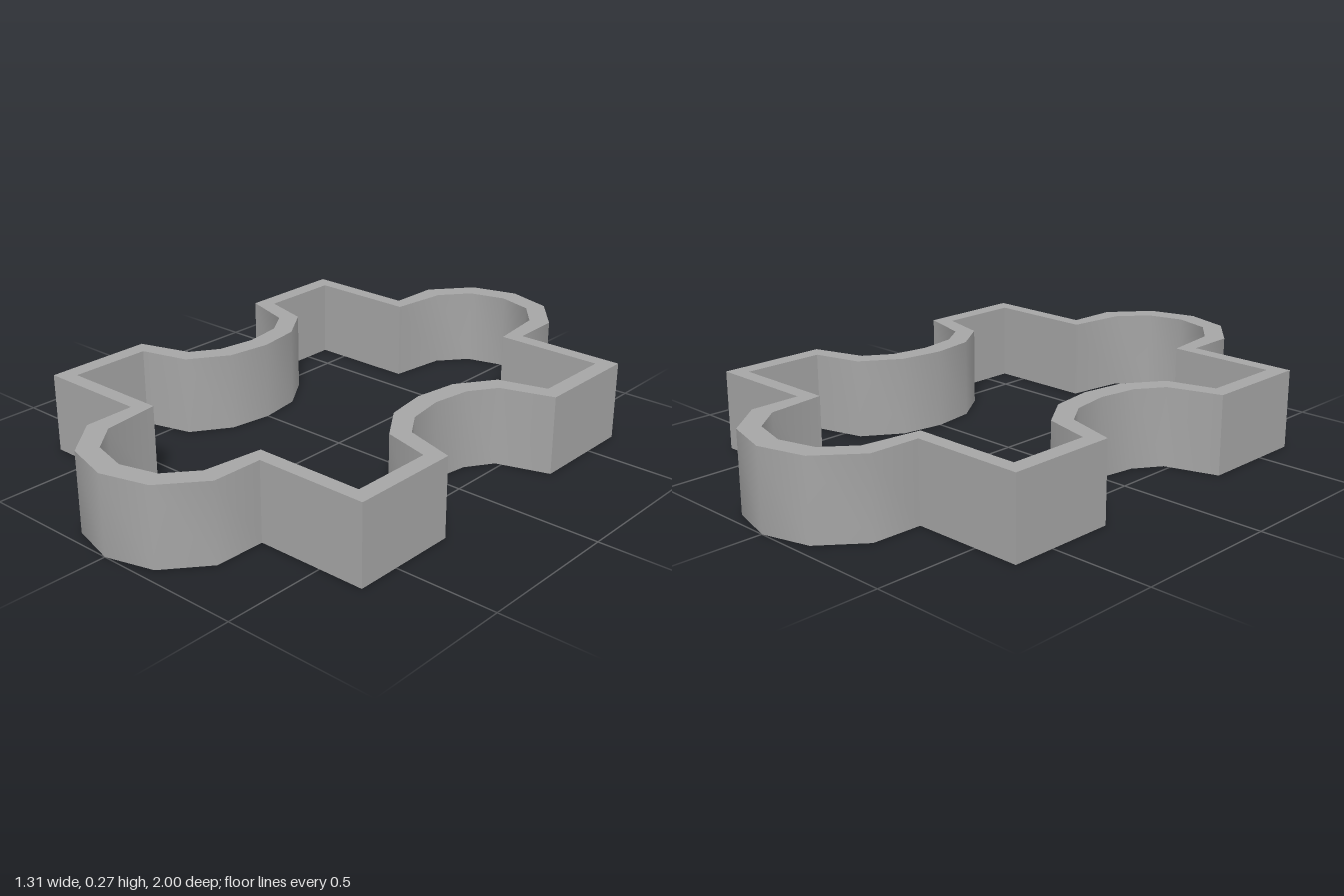
import * as THREE from 'three';
import { toCreasedNormals } from 'three/addons/utils/BufferGeometryUtils.js';

const HEIGHT = 0.266;

// Quarter outlines from the rounded end to the middle of the side recess
const OUTER = [[0, 1], [0.16, 0.955], [0.272, 0.82], [0.276, 0.647], [0.656, 0.647],
  [0.656, 0.275], [0.48, 0.22], [0.42, 0.13], [0.4, 0]];
const INNER = [[0, 0.926], [0.125, 0.892], [0.205, 0.795], [0.23, 0.597], [0.6, 0.597],
  [0.6, 0.317], [0.438, 0.273], [0.352, 0.147], [0.33, 0]];

// Mirror a quarter outline into a closed clockwise loop
function fullLoop(quarter) {
  const mirror = (list, sx, sy) => list.map(([x, y]) => new THREE.Vector2(x * sx, y * sy));
  const back = [...quarter].reverse();
  return [
    ...mirror(quarter, 1, 1),
    ...mirror(back.slice(1), 1, -1),
    ...mirror(quarter.slice(1), -1, -1),
    ...mirror(back.slice(1, -1), -1, 1),
  ];
}

export function createModel() {
  const group = new THREE.Group();
  group.name = 'cutterFrame';
  const grey = new THREE.MeshStandardMaterial({ color: 0xa5a5a5 });
  grey.name = 'grey';

  // Open wall with flat rims, smooth along the rounded stretches;
  // the hole runs opposite to the outline so its walls face inward
  const shape = new THREE.Shape(fullLoop(OUTER));
  shape.holes.push(new THREE.Path(fullLoop(INNER).reverse()));
  const extruded = new THREE.ExtrudeGeometry(shape, { depth: HEIGHT, bevelEnabled: false });
  extruded.rotateX(-Math.PI / 2);
  const wall = new THREE.Mesh(toCreasedNormals(extruded, 0.8), grey);
  wall.name = 'outlineWall';
  group.add(wall);
  return group;
}
